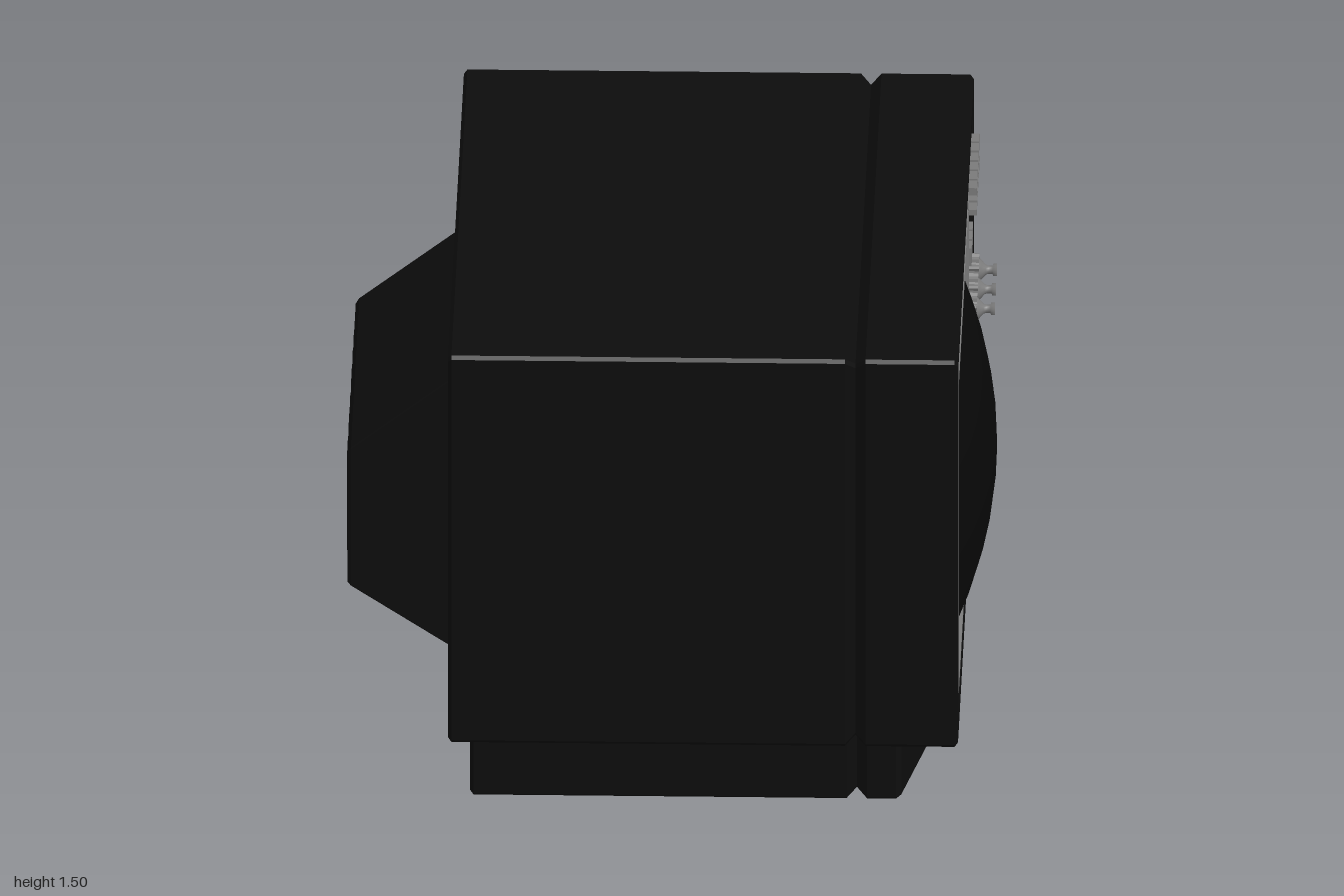
import * as THREE from 'three';

const PANEL = 0.825; // depth of the recessed front panel
const SCREEN = { y: 0.88, z: 0.25 };

const mat = (name, color) => {
  const m = new THREE.MeshStandardMaterial({ color });
  m.name = name;
  return m;
};

// Octagonal section across x: a rectangle with corners cut by c, counter-clockwise from +x
function ring([x, y0, y1, z0, z1, c = 0.01]) {
  return [[y0 + c, z0], [y1 - c, z0], [y1, z0 + c], [y1, z1 - c],
    [y1 - c, z1], [y0 + c, z1], [y0, z1 - c], [y0, z0 + c]].map(([y, z]) => [x, y, z]);
}

// Flat-shaded skin through a list of sections, optionally capped at each end
function loft(sections, startCap = true, endCap = true) {
  const rings = sections.map(ring), pos = [];
  const tri = (a, b, c) => pos.push(...a, ...b, ...c);
  for (let k = 0; k + 1 < rings.length; k++) {
    for (let i = 0; i < 8; i++) {
      const j = (i + 1) % 8, A = rings[k], B = rings[k + 1];
      tri(A[i], A[j], B[j]);
      tri(A[i], B[j], B[i]);
    }
  }
  const first = rings[0], last = rings[rings.length - 1];
  for (let i = 1; i < 7; i++) {
    if (startCap) tri(first[0], first[i + 1], first[i]);
    if (endCap) tri(last[0], last[i], last[i + 1]);
  }
  const g = new THREE.BufferGeometry();
  g.setAttribute('position', new THREE.Float32BufferAttribute(pos, 3));
  g.computeVertexNormals();
  return g;
}

export function createModel() {
  const tv = new THREE.Group();
  tv.name = 'television';
  const casing = mat('black casing', 0x0c0c0c);
  const glass = mat('dark glass', 0x080808);
  const metal = mat('grey metal', 0x7a7a7a);

  const add = (name, geometry, material, parent = tv) => {
    const m = new THREE.Mesh(geometry, material);
    m.name = name;
    parent.add(m);
    return m;
  };
  const box = (name, x0, x1, y, h, z, w, material, parent) => {
    add(name, new THREE.BoxGeometry(x1 - x0, h, w), material, parent).position.set((x0 + x1) / 2, y, z);
  };

  // Cabinet with a V groove all round and a recessed front
  const cab = (x, i) => [x, 0.255 + i, 1.5 - i, -1 + i, 1 - i];
  add('cabinet', loft([
    cab(-0.64, 0.01), cab(-0.63, 0), cab(0.52, 0), cab(0.55, 0.025), cab(0.58, 0),
    cab(0.84, 0), cab(0.85, 0.01), cab(0.85, 0.05), cab(PANEL, 0.06),
  ], true, false), casing);

  // Front panel, open behind the screen
  const rect = (P, hw, y0, y1, cx) => {
    const p = new P();
    p.moveTo(cx - hw, y0).lineTo(cx + hw, y0).lineTo(cx + hw, y1).lineTo(cx - hw, y1).closePath();
    return p;
  };
  const face = rect(THREE.Shape, 0.94, 0.315, 1.44, 0);
  face.holes.push(rect(THREE.Path, 0.63, SCREEN.y - 0.5, SCREEN.y + 0.5, -SCREEN.z));
  const panel = add('frontPanel', new THREE.ShapeGeometry(face), casing);
  panel.rotation.y = Math.PI / 2;
  panel.position.x = PANEL;

  // Plinth with a sloping front and the same groove
  const foot = (x, i, y0 = i) => [x, y0, 0.27, -0.81 + i, 0.81 - i, 0.006];
  add('plinth', loft([
    foot(-0.58, 0.01), foot(-0.57, 0), foot(0.52, 0), foot(0.55, 0.025), foot(0.58, 0),
    foot(0.665, 0), foot(0.68, 0.004, 0.012), foot(0.795, 0.004, 0.255),
  ]), casing);

  // Tube housing on the back, with upright vent ribs
  add('tubeHousing', loft([
    [-0.945, 0.545, 0.965, -0.515, 0.515, 0.004],
    [-0.935, 0.535, 0.98, -0.52, 0.52, 0.004],
    [-0.63, 0.335, 1.215, -0.52, 0.52, 0.004],
  ]), casing);
  const vents = new THREE.Group();
  vents.name = 'backVents';
  tv.add(vents);
  for (let i = 0; i < 9; i++) {
    box('vent', -0.949, -0.944, 0.755, 0.3, -0.4 + i * 0.1, 0.045, glass, vents);
  }

  // Screen surround: outer wall, face, then an inner wall sinking behind the glass
  const sur = (x, hz, hy, c) =>
    [x, SCREEN.y - hy, SCREEN.y + hy, SCREEN.z - hz, SCREEN.z + hz, c];
  add('screenFrame', loft([
    sur(PANEL - 0.01, 0.65, 0.52, 0.012), sur(0.835, 0.65, 0.52, 0.012),
    sur(0.85, 0.635, 0.505, 0.012), sur(0.85, 0.613, 0.485, 0.012),
    sur(0.8, 0.604, 0.476, 0.035), sur(0.68, 0.6, 0.472, 0.04),
  ], false, false), metal);

  // Bulging picture tube
  const screen = new THREE.PlaneGeometry(1.208, 0.952, 12, 10);
  screen.rotateY(Math.PI / 2);
  const p = screen.attributes.position;
  for (let i = 0; i < p.count; i++) {
    p.setX(i, 0.947 - 0.36 * p.getZ(i) ** 2 - 0.44 * p.getY(i) ** 2);
  }
  screen.computeVertexNormals();
  add('screen', screen, glass).position.set(0, SCREEN.y, SCREEN.z);

  // Two rows of channel buttons and three square switches
  const buttons = new THREE.Group();
  buttons.name = 'buttons';
  tv.add(buttons);
  for (let i = 0; i < 6; i++) {
    box('channelButton', PANEL - 0.01, 0.87, 1.355, 0.024, -0.515 - i * 0.065, 0.053, metal, buttons);
    box('channelButton', PANEL - 0.01, 0.87, 1.288, 0.018, -0.515 - i * 0.065, 0.053, metal, buttons);
  }
  for (let i = 0; i < 3; i++) {
    box('switch', PANEL - 0.01, 0.855, 1.145, 0.055, -0.515 - i * 0.066, 0.055, metal, buttons);
  }

  // Toothed rotary knobs
  const gear = new THREE.Shape();
  for (let i = 0; i < 40; i++) {
    const r = i % 4 < 2 ? 0.048 : 0.041, a = (i / 40) * Math.PI * 2;
    gear[i ? 'lineTo' : 'moveTo'](r * Math.cos(a), r * Math.sin(a));
  }
  const disc = new THREE.ExtrudeGeometry(gear, { depth: 0.055, bevelEnabled: false });
  disc.rotateY(Math.PI / 2);
  const stem = new THREE.LatheGeometry([
    [0.036, 0], [0.03, 0.008], [0.015, 0.022], [0.012, 0.03], [0.012, 0.042], [0.018, 0.044], [0.018, 0.055], [0, 0.055],
  ].map(([r, h]) => new THREE.Vector2(r, h)), 16);
  stem.rotateZ(-Math.PI / 2);
  for (const z of [-0.53, -0.665, -0.8]) {
    const knob = new THREE.Group();
    knob.name = 'knob';
    knob.position.set(PANEL - 0.01, 0.96, z);
    add('knobDisc', disc, metal, knob);
    add('knobStem', stem, metal, knob).position.x = 0.052;
    tv.add(knob);
  }

  // Speaker slats below the knobs
  const slats = new THREE.Group();
  slats.name = 'speakerSlats';
  tv.add(slats);
  for (let i = 0; i < 6; i++) {
    box('slat', PANEL - 0.01, 0.845, 0.82 - i * 0.085, 0.05, -0.68, 0.42, casing, slats);
  }
  return tv;
}
